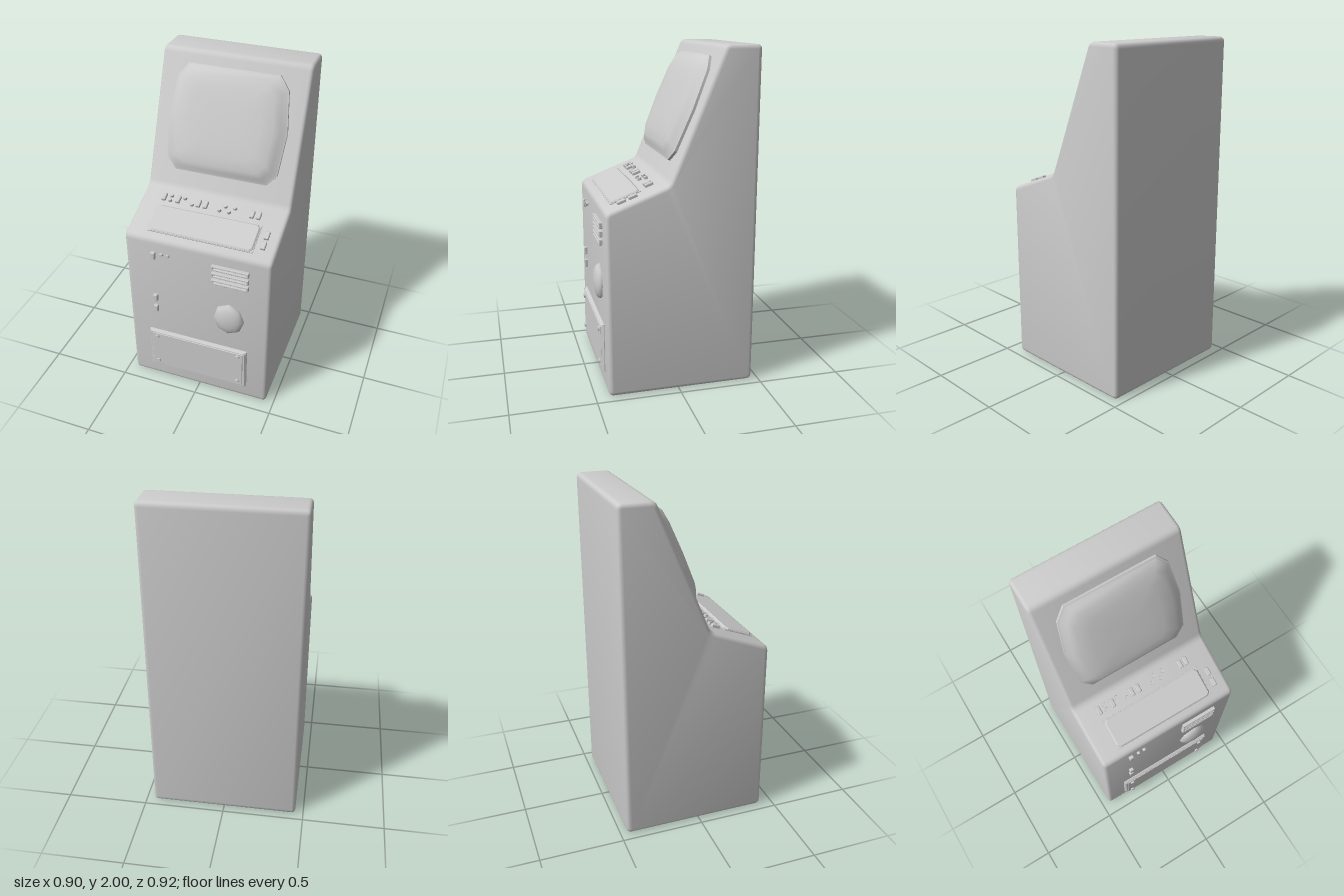
import * as THREE from 'three';
import { toCreasedNormals, mergeVertices } from 'three/addons/utils/BufferGeometryUtils.js';

const material = new THREE.MeshStandardMaterial({ color: 0xcccccc });

function addMesh(parent, name, geometry, x = 0, y = 0, z = 0) {
  const mesh = new THREE.Mesh(geometry, material);
  mesh.name = name;
  mesh.position.set(x, y, z);
  parent.add(mesh);
  return mesh;
}

// Closed outline with every corner rounded
function roundedOutline(points, radius) {
  const shape = new THREE.Shape();
  const n = points.length;
  points.forEach((p, i) => {
    const c = new THREE.Vector2(...p);
    const toward = (q) => new THREE.Vector2(...q).sub(c).setLength(radius).add(c);
    const a = toward(points[(i + n - 1) % n]);
    const b = toward(points[(i + 1) % n]);
    if (i) shape.lineTo(a.x, a.y);
    else shape.moveTo(a.x, a.y);
    shape.quadraticCurveTo(c.x, c.y, b.x, b.y);
  });
  shape.closePath();
  return shape;
}

// Rectangular path centred on the origin with cut corners
function cutRect(w, h, cut, Type = THREE.Shape) {
  const x = w / 2, y = h / 2;
  const pts = [[x - cut, -y], [x, cut - y], [x, y - cut], [x - cut, y],
    [cut - x, y], [-x, y - cut], [-x, cut - y], [cut - x, -y]];
  return new Type(pts.map((p) => new THREE.Vector2(...p)));
}

// Slab rising from z = 0 to z = depth, with a chamfered top edge
function slab(shape, depth, bevel) {
  const g = new THREE.ExtrudeGeometry(shape, {
    depth: depth - bevel, bevelThickness: bevel, bevelSize: bevel,
    bevelOffset: -bevel, bevelSegments: 1, curveSegments: 3,
  });
  return toCreasedNormals(g, 0.4);
}

const button = (parent, name, x, y, w = 0.026, h = 0.05, d = 0.018) =>
  addMesh(parent, name, slab(cutRect(w, h, 0.003), d, 0.004), x, y, 0);

function roundButton(parent, name, x, y, r = 0.013, z = 0) {
  const g = new THREE.CylinderGeometry(r * 0.85, r, 0.02, 10);
  g.rotateX(Math.PI / 2);
  addMesh(parent, name, toCreasedNormals(g, 0.6), x, y, z + 0.006);
}

// Group lying on a cabinet face; its local +z is the face normal
function faceGroup(parent, name, y, z, tilt) {
  const g = new THREE.Group();
  g.name = name;
  g.position.set(0, y, z);
  g.rotation.x = -tilt;
  parent.add(g);
  return g;
}

// Bulging tube lofted from scaled copies of one outline
function screenGeometry() {
  const right = [[0.275, 0.314], [0.335, 0.235], [0.362, 0], [0.34, -0.25], [0.28, -0.314]];
  const outline = [...right, ...right.map(([x, y]) => [-x, y]).reverse()];
  const rings = [[1, 0], [1, 0.016], [0.97, 0.02], [0.9, 0.043], [0.8, 0.06],
    [0.6, 0.07], [0.35, 0.075], [0.001, 0.077]];
  const n = outline.length;
  const position = [], index = [];
  rings.forEach(([s, z], r) => {
    outline.forEach(([x, y], i) => {
      position.push(x * s, y * s, z);
      if (!r) return;
      const j = (i + 1) % n, a = (r - 1) * n, b = r * n;
      index.push(a + i, b + i, a + j, a + j, b + i, b + j);
    });
  });
  const g = new THREE.BufferGeometry();
  g.setAttribute('position', new THREE.Float32BufferAttribute(position, 3));
  g.setIndex(index);
  // Outline runs clockwise, so this winding faces outward
  return toCreasedNormals(g, 0.65);
}

export function createModel() {
  const model = new THREE.Group();
  model.name = 'arcadeCabinet';

  // Cabinet: side profile in (z, y), extruded across the width
  const profile = roundedOutline([[-0.46, 0], [0.42, 0], [0.42, 1.103], [0.06, 1.24],
    [-0.255, 2], [-0.46, 2]], 0.03);
  const bevel = 0.022;
  const body = new THREE.ExtrudeGeometry(profile, {
    depth: 0.9 - 2 * bevel, bevelThickness: bevel, bevelSize: bevel,
    bevelOffset: -bevel, bevelSegments: 3, curveSegments: 4,
  });
  body.translate(0, 0, bevel - 0.45);
  body.rotateY(-Math.PI / 2);
  addMesh(model, 'cabinet', toCreasedNormals(body, 0.6));

  // Screen on the sloped upper face
  const upper = faceGroup(model, 'screenFace', 1.64, -0.106, 0.393);
  addMesh(upper, 'screen', screenGeometry());

  // Control deck; positions are given as seen from above (x, z)
  const tilt = 1.207, z0 = 0.24;
  const deck = faceGroup(model, 'controlDeck', 1.171, z0, tilt);
  const v = (z) => (z0 - z) / Math.sin(tilt);
  addMesh(deck, 'deckPlateBase', slab(cutRect(0.645, 0.19, 0.001), 0.006, 0.001), -0.002, v(0.283));
  addMesh(deck, 'deckPlate', slab(cutRect(0.638, 0.184, 0.018), 0.016, 0.008), -0.002, v(0.283));
  for (const x of [-0.312, -0.222, -0.092, -0.048, 0.241, 0.281]) {
    button(deck, 'deckButton', x, v(0.137));
  }
  for (const z of [0.25, 0.315]) button(deck, 'sideButton', 0.367, v(z), 0.028, 0.052);
  for (const [x, z] of [[-0.27, 0.12], [-0.27, 0.152], [-0.185, 0.12], [-0.13, 0.152],
    [0.042, 0.152], [0.07, 0.12], [0.102, 0.152], [0.13, 0.12]]) {
    roundButton(deck, 'deckRoundButton', x, v(z));
  }

  // Lower front: buttons and lamps
  const front = faceGroup(model, 'frontFace', 0, 0.42, 0);
  for (const y of [0.992, 0.67, 0.586]) button(front, 'frontButton', -0.27, y, 0.027, 0.048, 0.02);
  for (const x of [-0.218, -0.178]) roundButton(front, 'frontLamp', x, 1.006, 0.012);

  // Vent: three slotted bars
  for (let i = 0; i < 3; i++) {
    const frame = cutRect(0.226, 0.034, 0.002);
    frame.holes.push(cutRect(0.2, 0.008, 0.001, THREE.Path));
    addMesh(front, 'ventBar', slab(frame, 0.02, 0.003), 0.208, 1.004 - i * 0.05, 0);
  }

  // Faceted dome
  const dome = new THREE.SphereGeometry(1, 8, 4, 0, Math.PI * 2, 0, Math.PI / 2);
  dome.rotateX(Math.PI / 2);
  dome.scale(0.097, 0.112, 0.04);
  addMesh(front, 'dome', mergeVertices(dome), 0.2, 0.633, 0);

  // Service door with corner screws
  addMesh(front, 'doorFrame', slab(cutRect(0.645, 0.3, 0.001), 0.018, 0.014), -0.002, 0.25, 0);
  addMesh(front, 'door', slab(cutRect(0.6, 0.262, 0.002), 0.022, 0.003), -0.002, 0.25, 0);
  for (const x of [-0.27, 0.266]) {
    for (const y of [0.148, 0.357]) roundButton(front, 'doorScrew', x, y, 0.015, 0.016);
  }
  return model;
}
